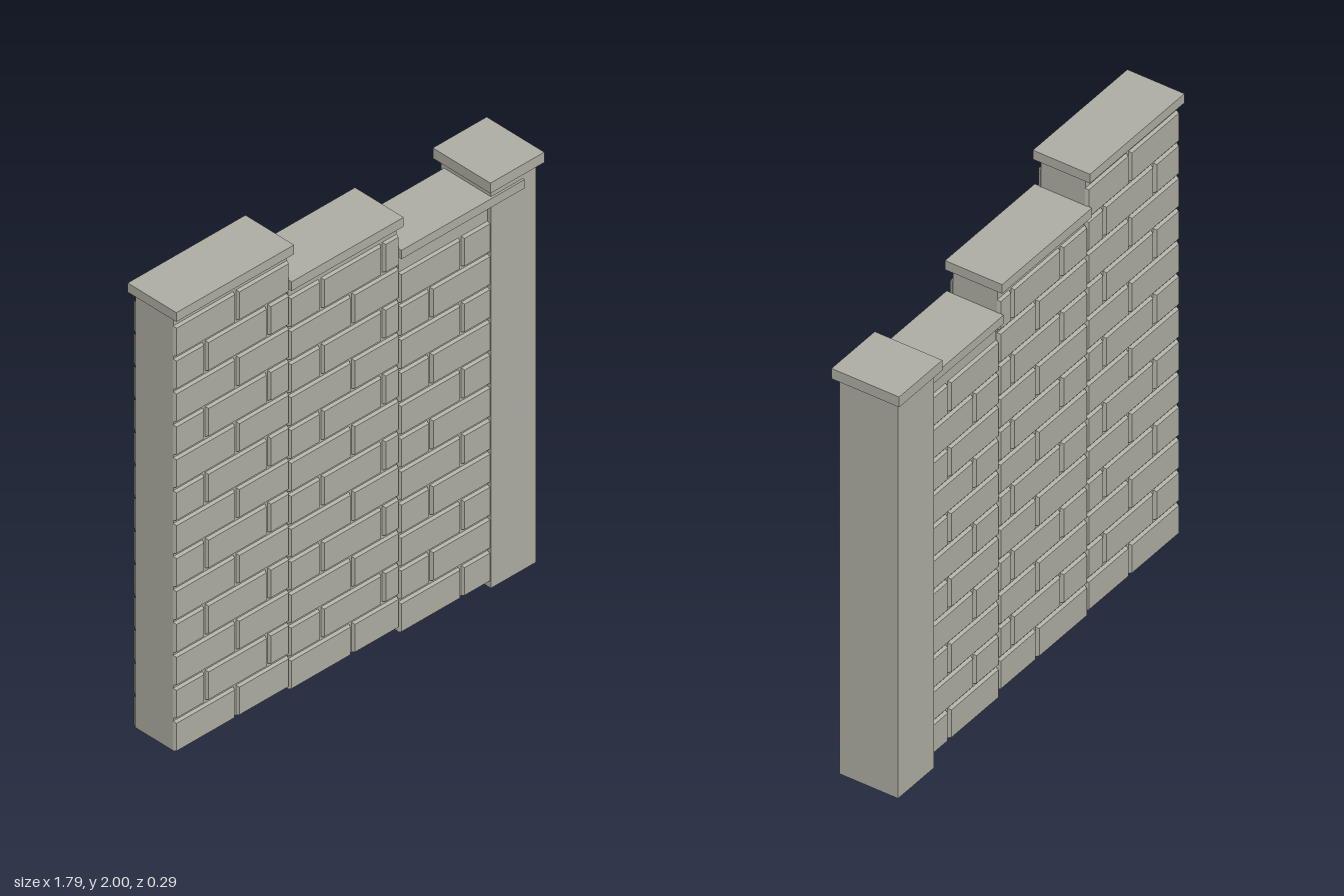
import * as THREE from 'three';

const stone = new THREE.MeshStandardMaterial({ color: 0xb0afa4 });
stone.name = 'stone';

const ROW = 0.1435, JOINT = 0.013, BEVEL = 0.005;
const CORE_BACK = -0.083, CORE_FRONT = 0.108, PROUD = 0.013;

// Box given by its two extreme corners
function block(name, x0, x1, y0, y1, z0, z1) {
  const geo = new THREE.BoxGeometry(x1 - x0, y1 - y0, z1 - z0);
  geo.translate((x0 + x1) / 2, (y0 + y1) / 2, (z0 + z1) / 2);
  const mesh = new THREE.Mesh(geo, stone);
  mesh.name = name;
  return mesh;
}

// Brick facing whose outer face is slightly smaller than its base
function brick(x0, x1, y0, y1, side) {
  const w = x1 - x0, h = y1 - y0;
  let geo = new THREE.BoxGeometry(w, h, PROUD);
  const p = geo.attributes.position;
  for (let i = 0; i < p.count; i++) {
    if (p.getZ(i) * side > 0) {
      p.setX(i, p.getX(i) * (1 - 2 * BEVEL / w));
      p.setY(i, p.getY(i) * (1 - 2 * BEVEL / h));
    }
  }
  geo = geo.toNonIndexed();
  geo.computeVertexNormals();
  const base = side > 0 ? CORE_FRONT : CORE_BACK;
  geo.translate((x0 + x1) / 2, (y0 + y1) / 2, base + side * PROUD / 2);
  const mesh = new THREE.Mesh(geo, stone);
  mesh.name = 'brick';
  return mesh;
}

// Wall panel: core, staggered bricks on both faces, and coping slab
function wallSection({ name, x0, x1, y0, rows, coreTop, evenJoints, oddJoints, cap }) {
  const group = new THREE.Group();
  group.name = name;
  group.add(block('core', x0 + 0.002, x1 - 0.002, y0, coreTop, CORE_BACK, CORE_FRONT));
  for (let r = 0; r < rows; r++) {
    const cuts = [x0 - JOINT / 2, ...(r % 2 ? oddJoints : evenJoints), x1 + JOINT / 2];
    const y = y0 + r * ROW;
    for (let i = 0; i < cuts.length - 1; i++) {
      for (const side of [1, -1]) {
        group.add(brick(cuts[i] + JOINT / 2, cuts[i + 1] - JOINT / 2, y, y + ROW - JOINT, side));
      }
    }
  }
  group.add(block('coping', cap[0], cap[1], cap[2], cap[3], -0.11, 0.135));
  return group;
}

export function createModel() {
  const model = new THREE.Group();
  model.name = 'steppedWall';

  // Three panels stepping down towards the pillar
  const sections = [
    { name: 'tallSection', x0: -0.885, x1: -0.328, y0: 0.07, rows: 13, coreTop: 1.962,
      evenJoints: [-0.585], oddJoints: [-0.735, -0.43], cap: [-0.895, -0.32, 1.96, 2] },
    { name: 'middleSection', x0: -0.325, x1: 0.208, y0: 0.053, rows: 12, coreTop: 1.807,
      evenJoints: [-0.02], oddJoints: [-0.17, 0.13], cap: [-0.332, 0.215, 1.805, 1.845] },
    { name: 'lowSection', x0: 0.213, x1: 0.745, y0: 0.025, rows: 11, coreTop: 1.67,
      evenJoints: [0.515], oddJoints: [0.362, 0.668], cap: [0.205, 0.805, 1.668, 1.706] },
  ];
  for (const s of sections) model.add(wallSection(s));

  // End pillar with its cap
  const pillar = new THREE.Group();
  pillar.name = 'pillar';
  pillar.add(block('pillarShaft', 0.65, 0.87, 0, 1.742, -0.125, 0.126));
  pillar.add(block('pillarCap', 0.63, 0.893, 1.74, 1.785, -0.146, 0.144));
  model.add(pillar);

  return model;
}
